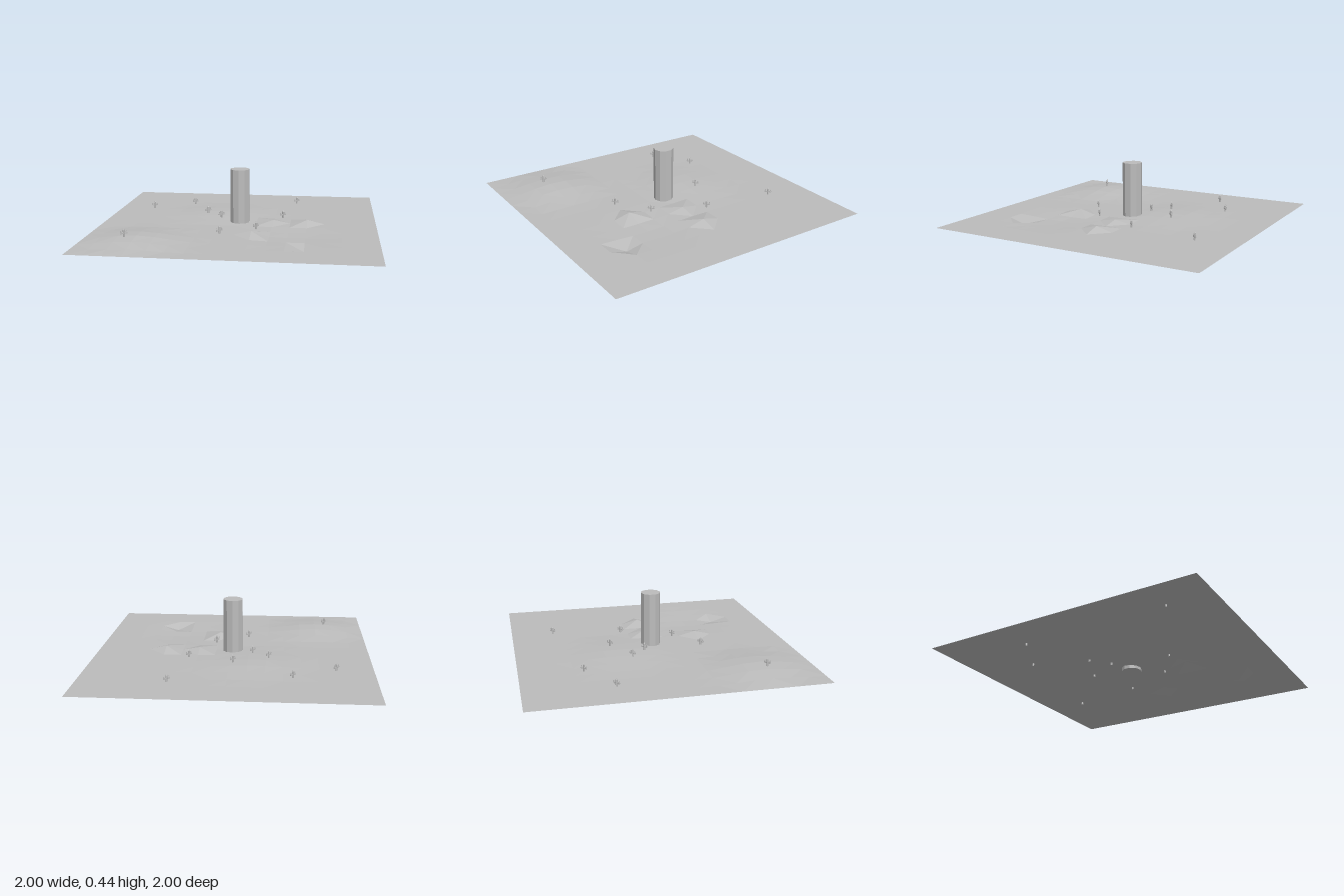
import * as THREE from 'three';

const BASE = 0.036;
const stone = new THREE.MeshStandardMaterial({ color: 0xbcbcbc, flatShading: true, side: THREE.DoubleSide });
stone.name = 'pale grey stone';

// smooth mounds and hollows: [x, z, radius x, radius z, height]
const mounds = [
  [-0.625, 0.6, 0.46, 0.44, 0.039],
  [-0.15, -0.27, 0.5, 0.45, 0.02],
  [0.42, 0.4, 0.4, 0.4, -0.013],
];
// sharp single-vertex peaks and pits: [x, z, height above base]
const spikes = [
  [0.125, 0.375, 0.03],
  [0.5, 0, 0.03],
  [0.25, 0, 0.022],
  [0.5, 0.625, -0.036],
];

function heightAt(x, z) {
  for (const [sx, sz, h] of spikes) {
    if (Math.hypot(x - sx, z - sz) < 0.03) return BASE + h;
  }
  let y = BASE;
  for (const [mx, mz, rx, rz, h] of mounds) {
    const d = Math.min(1, Math.hypot((x - mx) / rx, (z - mz) / rz));
    y += h * (0.5 + 0.5 * Math.cos(Math.PI * d));
  }
  return y;
}

// ground grid whose diagonals alternate from row to row
function createGround() {
  const n = 16, points = [], index = [];
  for (let j = 0; j <= n; j++) {
    for (let i = 0; i <= n; i++) {
      const x = -1 + (2 * i) / n, z = -1 + (2 * j) / n;
      const edge = i === 0 || j === 0 || i === n || j === n;
      points.push(x, edge ? BASE : heightAt(x, z), z);
    }
  }
  for (let j = 0; j < n; j++) {
    const main = j < 12 ? j % 2 === 1 : j % 2 === 0;
    for (let i = 0; i < n; i++) {
      const a = j * (n + 1) + i, b = a + 1, c = a + n + 1, d = c + 1;
      if (main) index.push(a, c, d, a, d, b);
      else index.push(a, c, b, b, c, d);
    }
  }
  const geo = new THREE.BufferGeometry();
  geo.setAttribute('position', new THREE.Float32BufferAttribute(points, 3));
  geo.setIndex(index);
  geo.computeVertexNormals();
  const ground = new THREE.Mesh(geo, stone);
  ground.name = 'ground';
  return ground;
}

// small cactus: stem with a tapered tip and two upturned arms
function createCactus() {
  const cactus = new THREE.Group();
  cactus.name = 'cactus';
  const add = (name, geo, x, y) => {
    const mesh = new THREE.Mesh(geo, stone);
    mesh.name = name;
    mesh.position.set(x, y, 0);
    cactus.add(mesh);
  };
  add('stem', new THREE.CylinderGeometry(0.007, 0.007, 0.065, 6), 0, 0.0325);
  add('stemTip', new THREE.CylinderGeometry(0.002, 0.007, 0.009, 6), 0, 0.0695);
  for (const s of [-1, 1]) {
    add('armBranch', new THREE.BoxGeometry(0.022, 0.009, 0.009), s * 0.013, 0.042);
    add('armTip', new THREE.CylinderGeometry(0.003, 0.006, 0.018, 6), s * 0.02, 0.05);
  }
  return cactus;
}

export function createModel() {
  const model = new THREE.Group();
  model.name = 'desertScene';
  model.add(createGround());

  // central ten-sided column
  const column = new THREE.Mesh(new THREE.CylinderGeometry(0.072, 0.072, 0.417, 10), stone);
  column.name = 'column';
  column.position.y = 0.2265;
  model.add(column);

  // scattered cacti, rooted just below the ground
  const spots = [
    [-0.74, -0.39], [-0.27, -0.19], [-0.15, -0.08], [-0.02, -0.31], [0.39, -0.69],
    [0.31, -0.17], [-0.1, 0.36], [0.14, 0.2], [-0.7, 0.65], [-0.44, -0.56],
  ];
  for (const [x, z] of spots) {
    const cactus = createCactus();
    cactus.position.set(x, heightAt(x, z) - 0.018, z);
    cactus.rotation.y = Math.PI / 4;
    model.add(cactus);
  }
  return model;
}
